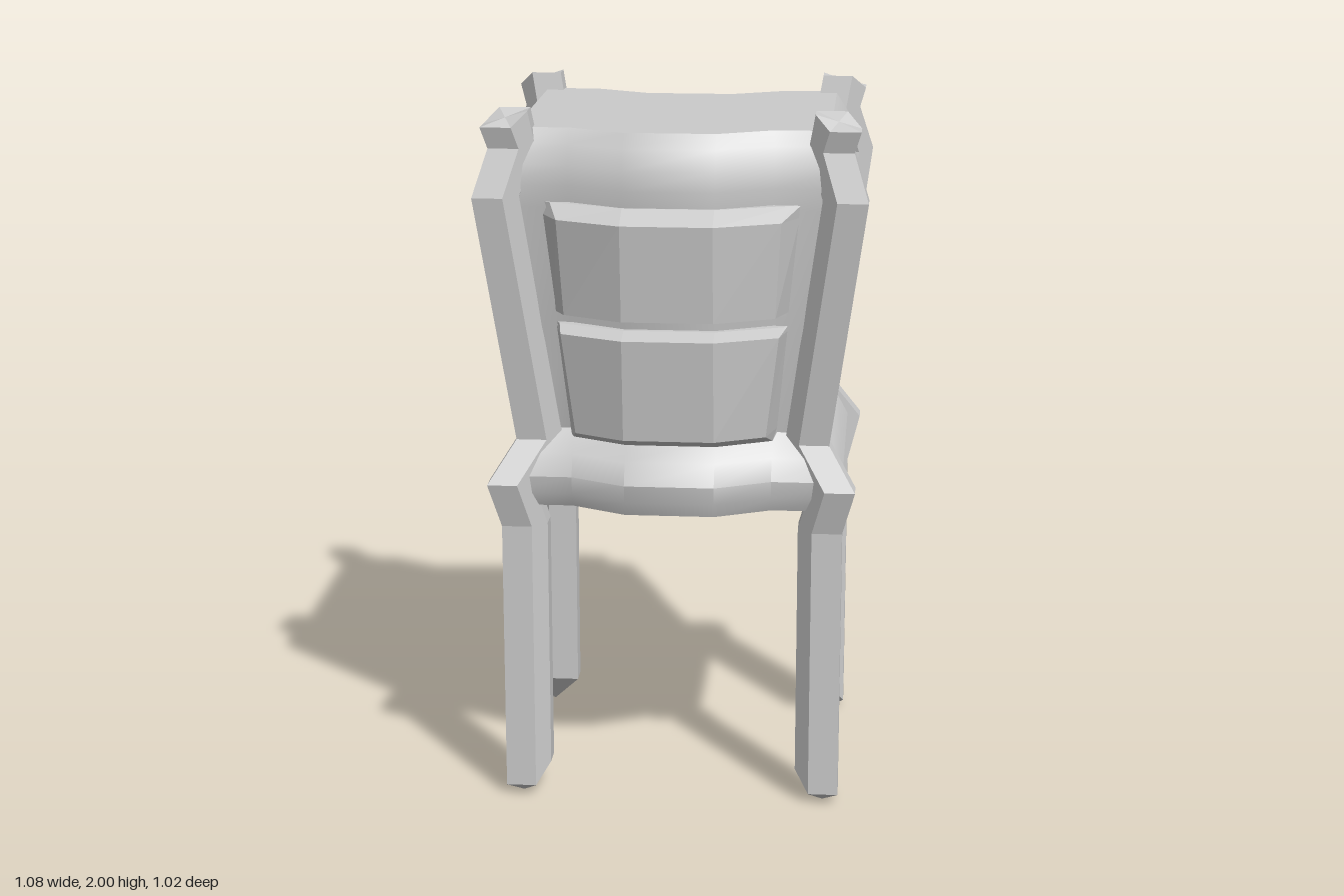
import * as THREE from 'three';
import { toCreasedNormals } from 'three/addons/utils/BufferGeometryUtils.js';

const ZC = -0.053; // middle of the frame in z
const V = (x, y, z) => new THREE.Vector3(x, y, z);

// Skin a stack of rings (bottom to top), closing both ends with fans.
function loft(rings, bottomTip) {
  const pos = [];
  const tri = (...p) => p.forEach((v) => pos.push(v.x, v.y, v.z));
  const mid = (r) => r.reduce((s, v) => s.add(v), V(0, 0, 0)).divideScalar(r.length);
  const n = rings[0].length, first = rings[0], last = rings[rings.length - 1];
  const lo = bottomTip || mid(first), hi = mid(last);
  for (let i = 0; i < n; i++) {
    const j = (i + 1) % n;
    for (let k = 0; k + 1 < rings.length; k++) {
      const a = rings[k], b = rings[k + 1];
      tri(a[i], a[j], b[j]);
      tri(a[i], b[j], b[i]);
    }
    tri(lo, first[j], first[i]);
    tri(hi, last[i], last[j]);
  }
  const g = new THREE.BufferGeometry();
  g.setAttribute('position', new THREE.Float32BufferAttribute(pos, 3));
  g.computeVertexNormals();
  return g;
}

// Serpentine plan of the front and back: flat middle, sloping shoulders.
const wave = (x) => 0.075 * THREE.MathUtils.clamp((0.28 - Math.abs(x)) / 0.155, 0, 1);

// Cabinet body: [height, outward offset] from apron to top rim.
function bodyGeometry() {
  const profile = [
    [0.88, 0.025], [0.92, 0.042], [0.97, 0.048], [1.03, 0.02], [1.09, -0.04],
    [1.4, 0.012], [1.74, 0.054], [1.8, 0.058], [1.855, 0.052], [1.91, 0.028], [1.95, 0],
  ];
  const rings = profile.map(([y, o]) => {
    const xs = [-0.43 - o, -0.28, -0.125, 0.125, 0.28, 0.43 + o];
    return [
      ...xs.map((x) => V(x, y, 0.305 + o + wave(x))),
      ...xs.slice().reverse().map((x) => V(x, y, -0.41 - o + wave(x))),
    ];
  });
  return toCreasedNormals(loft(rings), 0.55);
}

// Corner post: a diagonal bar following a bent path of [height, corner x].
function postGeometry(sx, sz) {
  const path = [
    [0.03, 0.48], [0.82, 0.48], [0.95, 0.515], [1.065, 0.44],
    [1.77, 0.538], [1.9, 0.497], [1.96, 0.515],
  ];
  // section around the outer corner; last value marks the inner half
  const section = [
    [0, 0, 0], [0, -0.065, 0], [-0.04, -0.105, 1],
    [-0.125, -0.105, 1], [-0.125, -0.04, 1], [-0.085, 0, 0],
  ];
  const place = (x, y, z) => V(sx * x, y, ZC + sz * z);
  const rings = path.map(([y, h], k) => {
    const lift = k === 0 ? 0.06 : k === path.length - 1 ? 0.04 : 0;
    const ring = section.map(([dx, dz, inner]) => place(h + dx, y + inner * lift, h - 0.078 + dz));
    return sx * sz < 0 ? ring.reverse() : ring;
  });
  return loft(rings, place(0.435, 0, 0.362));
}

// Bevelled drawer front: levels of [height, base half width, face half width, face offset].
function drawerGeometry(levels) {
  const rings = levels.map(([y, W, w, out]) => {
    const base = 0.305 - 0.04 + 0.137 * (y - 1.09);
    const face = [-w, -0.125, 0.125, w].map((x) => V(x, y, 0.305 + out + wave(x)));
    return [V(-W, y, base), ...face, V(W, y, base), V(W, y, base - 0.05), V(-W, y, base - 0.05)];
  });
  return loft(rings);
}

export function createModel() {
  const model = new THREE.Group();
  const smooth = new THREE.MeshStandardMaterial({ color: 0xcccccc });
  const flat = new THREE.MeshStandardMaterial({ color: 0xcccccc, flatShading: true });
  const add = (name, geometry, material) => {
    const mesh = new THREE.Mesh(geometry, material);
    mesh.name = name;
    model.add(mesh);
  };

  add('cabinetBody', bodyGeometry(), smooth);

  // four legs running up into corner posts
  for (const sx of [-1, 1]) {
    for (const sz of [-1, 1]) {
      add((sz > 0 ? 'front' : 'back') + (sx > 0 ? 'Left' : 'Right') + 'Leg', postGeometry(sx, sz), flat);
    }
  }

  add('upperDrawer', drawerGeometry([
    [1.44, 0.325, 0.29, 0.045], [1.45, 0.326, 0.29, 0.1],
    [1.72, 0.352, 0.305, 0.131], [1.755, 0.355, 0.33, 0.06],
  ]), flat);
  add('lowerDrawer', drawerGeometry([
    [1.07, 0.29, 0.28, -0.02], [1.105, 0.292, 0.265, 0.06],
    [1.395, 0.322, 0.3, 0.095], [1.41, 0.322, 0.31, 0.03],
  ]), flat);

  return model;
}
